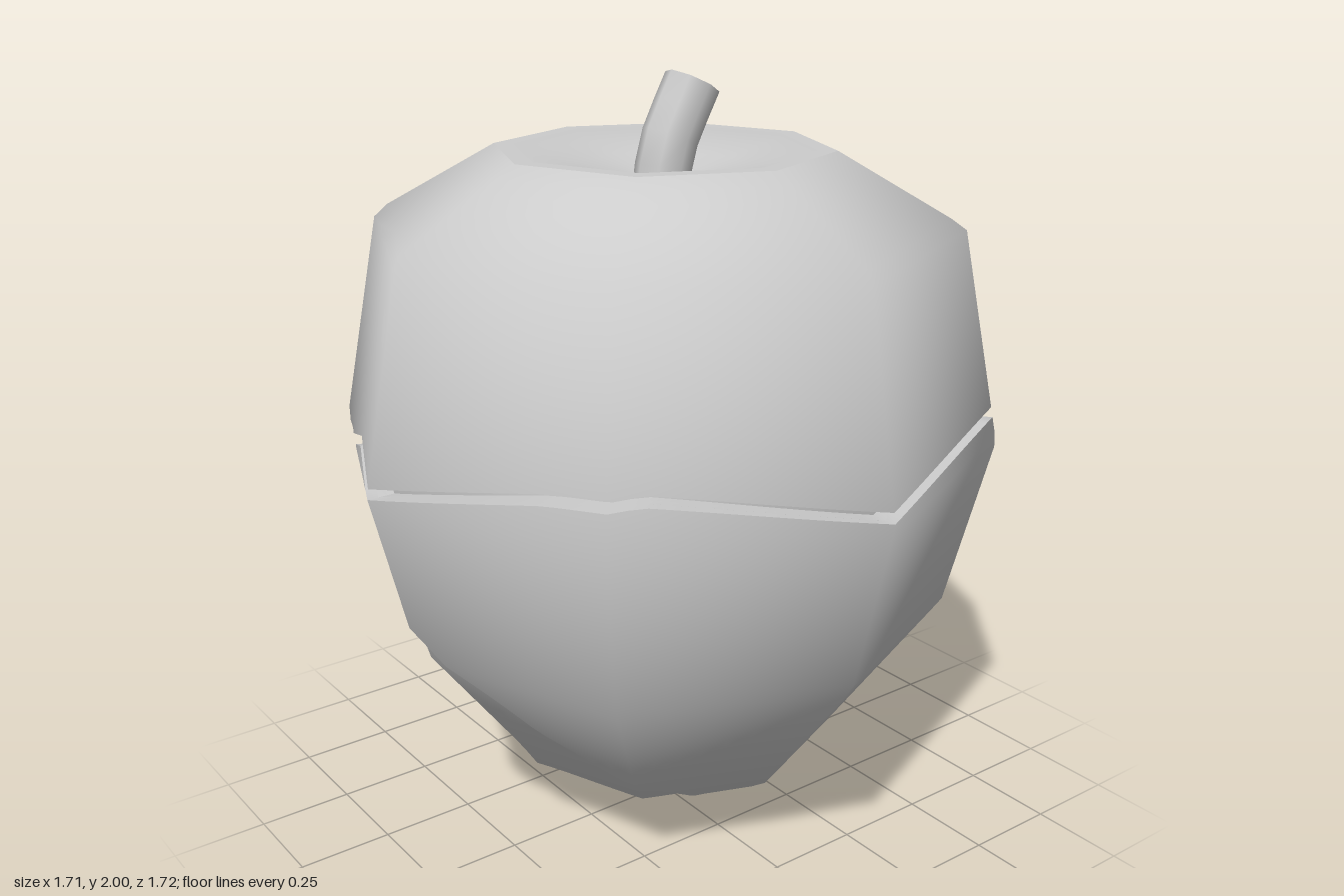
import * as THREE from 'three';
import { mergeGeometries } from 'three/addons/utils/BufferGeometryUtils.js';

const RAD = Math.PI / 180;
const material = new THREE.MeshStandardMaterial({ color: 0xcccccc, side: THREE.DoubleSide });

// Silhouette of the nut: height, radius at the corners, upward tilt of the normal
const profile = [
  [0, 0, -0.95], [0.21, 0.43, -0.78], [0.64, 0.75, -0.43], [1.09, 0.86, -0.02],
  [1.64, 0.75, 0.55], [1.82, 0.43, 0.93],
];
// Wavy crack between cap and nut: angle from the front towards +x, height
const crack = [
  [0, 1.1], [34, 1.18], [50, 1.2], [90, 1.11], [135, 1.17], [147, 1.1], [180, 1.17], [225, 1.11],
  [237, 1.08], [270, 1.1], [298, 1.17], [315, 1.03], [342, 1.14], [360, 1.1],
];
// Lower edges of the overlapping shell plates
const outerEdge = [
  [-26, 1.08], [0, 0.73], [19, 0.44], [45, 0.29], [67, 0.2], [90, 0.19],
  [147, 0.21], [165, 0.28], [180, 0.36], [208, 0.68], [237, 1.08],
];
const sideEdge = [
  [95, 0.2], [140, 0.07], [200, 0.1], [240, 0.16], [270, 0.22],
  [287, 0.35], [298, 0.65], [303, 1.14],
];

// Linear lookup in a table
function sample(table, x, column = 1) {
  let i = 0;
  while (i < table.length - 2 && x > table[i + 1][0]) i++;
  const a = table[i], b = table[i + 1];
  const t = THREE.MathUtils.clamp((x - a[0]) / (b[0] - a[0]), 0, 1);
  return a[column] + (b[column] - a[column]) * t;
}
const crackAt = (deg) => sample(crack, ((deg % 360) + 360) % 360);

// Point on the eight-sided shell
function shellPoint(deg, y, inset) {
  const r = Math.max(0, sample(profile, y) - inset * Math.min(1, y / 0.3));
  const local = (((deg % 45) + 45) % 45) - 22.5;
  const ring = r * Math.cos(22.5 * RAD) / Math.cos(local * RAD);
  return [ring * Math.sin(deg * RAD), y, ring * Math.cos(deg * RAD)];
}
// Rounded shading over the flat sides
function shellNormal(deg, y) {
  const ny = sample(profile, y, 2), h = Math.sqrt(1 - ny * ny);
  return [h * Math.sin(deg * RAD), ny, h * Math.cos(deg * RAD)];
}

// Surface through rows of points, ordered top to bottom
function strip(angles, rowCount, point, normal) {
  const pos = [], nor = [], index = [], n = angles.length;
  for (let i = 0; i < rowCount; i++) {
    for (const deg of angles) {
      pos.push(...point(deg, i));
      if (normal) nor.push(...normal(deg, i));
    }
  }
  for (let i = 0; i < rowCount - 1; i++) {
    for (let j = 0; j < n - 1; j++) {
      const a = i * n + j, c = a + n;
      index.push(a, c, a + 1, a + 1, c, c + 1);
    }
  }
  const g = new THREE.BufferGeometry();
  g.setAttribute('position', new THREE.Float32BufferAttribute(pos, 3));
  g.setIndex(index);
  if (normal) g.setAttribute('normal', new THREE.Float32BufferAttribute(nor, 3));
  else g.computeVertexNormals();
  return g;
}

function angleRange(from, to) {
  const list = [from];
  for (let d = Math.ceil((from + 0.1) / 3) * 3; d < to; d += 3) list.push(d);
  list.push(to);
  return list;
}

// Thick shell plate between two height functions
function plate(name, from, to, top, low, inset, thickness = 0.05) {
  const angles = angleRange(from, to), rows = 25;
  const height = (deg, i) => {
    const t = top(deg), l = Math.min(low(deg), t);
    return t + (l - t) * i / (rows - 1);
  };
  const outer = strip(angles, rows,
    (d, i) => shellPoint(d, height(d, i), inset),
    (d, i) => shellNormal(d, height(d, i)));
  const topWall = strip(angles, 2, (d, i) => shellPoint(d, top(d), inset + (i ? 0 : thickness)));
  const lowWall = strip(angles, 2,
    (d, i) => shellPoint(d, height(d, rows - 1), inset + (i ? thickness : 0)));
  const mesh = new THREE.Mesh(mergeGeometries([outer, topWall, lowWall]), material);
  mesh.name = name;
  return mesh;
}

export function createModel() {
  const group = new THREE.Group();
  const rim = (d) => crackAt(d) - 0.014;

  // Nut: three layers of shell wrapped over each other
  group.add(plate('outerShell', -26, 237, rim, (d) => sample(outerEdge, d), 0));
  group.add(plate('sideShell', 95, 303, rim, (d) => sample(sideEdge, d), 0.012, 0.03));
  group.add(plate('innerShell', 0, 360, rim, () => 0, 0.028));

  // Core that closes the crack under the cap
  const core = new THREE.Mesh(new THREE.LatheGeometry(
    [[0, 0.8], [0.7, 0.8], [0.79, 1.09], [0.74, 1.35], [0, 1.35]]
      .map(([x, y]) => new THREE.Vector2(x, y)), 8), material);
  core.name = 'core';
  group.add(core);

  // Cap with its dished top
  const cap = new THREE.Group();
  cap.name = 'cap';
  cap.add(plate('capSide', 0, 360, () => 1.82, (d) => crackAt(d) + 0.012, 0));
  cap.children[0].geometry.computeBoundingSphere();
  const dish = new THREE.Mesh(strip(angleRange(0, 360), 5,
    (d, i) => {
      const p = shellPoint(d, 1.82, 0), k = i / 4;
      return [p[0] * k, 1.73 + 0.09 * k, p[2] * k];
    },
    (d, i) => {
      const h = i === 0 ? 0 : -0.2 + 0.5 * Math.max(0, i / 4 - 0.5);
      return [h * Math.sin(d * RAD), Math.sqrt(1 - h * h), h * Math.cos(d * RAD)];
    }), material);
  dish.name = 'capTop';
  cap.add(dish);
  group.add(cap);

  // Bent stem leaning to the back
  const path = new THREE.CatmullRomCurve3([
    new THREE.Vector3(0, 1.7, 0.01), new THREE.Vector3(0, 1.82, -0.012),
    new THREE.Vector3(0, 1.972, -0.09),
  ]);
  const stem = new THREE.Group();
  stem.name = 'stem';
  const stalk = new THREE.Mesh(new THREE.TubeGeometry(path, 4, 0.072, 8), material);
  stalk.name = 'stalk';
  const tip = new THREE.Mesh(new THREE.CircleGeometry(0.072, 8), material);
  tip.name = 'stemTip';
  tip.position.copy(path.getPoint(1));
  tip.quaternion.setFromUnitVectors(new THREE.Vector3(0, 0, 1), path.getTangent(1));
  stem.add(stalk, tip);
  group.add(stem);

  return group;
}
